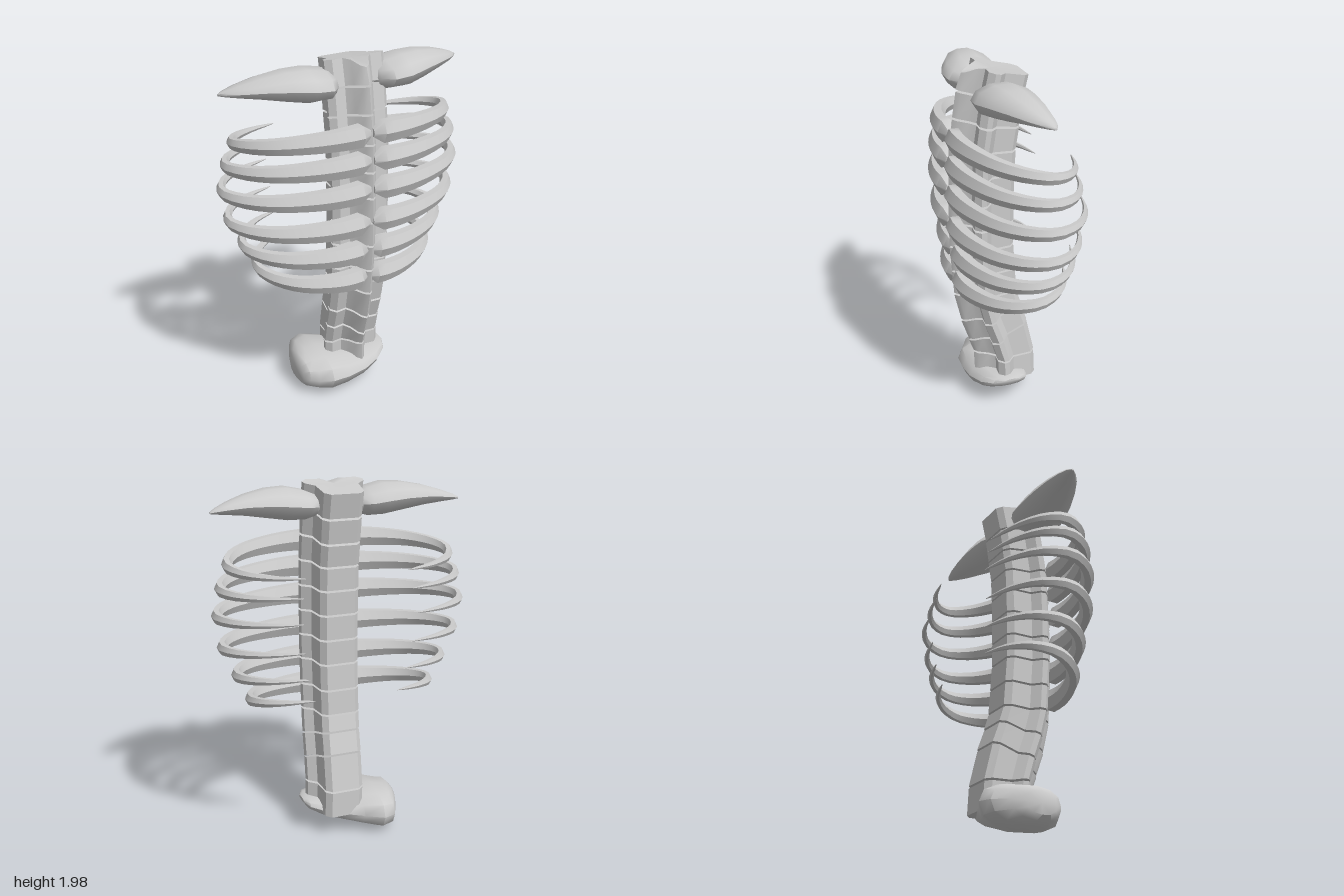
import * as THREE from 'three';
import { toCreasedNormals } from 'three/addons/utils/BufferGeometryUtils.js';

const material = new THREE.MeshStandardMaterial({ color: 0xcccccc });

// Skin a list of equal-length rings of Vector3 and cap both ends
function loft(rings, crease) {
  const n = rings[0].length, m = rings.length;
  const pts = rings.flat(), idx = [];
  for (let i = 0; i < m - 1; i++) {
    for (let j = 0; j < n; j++) {
      const a = i * n + j, b = i * n + (j + 1) % n;
      idx.push(a, b, b + n, a, b + n, a + n);
    }
  }
  [rings[0], rings[m - 1]].forEach((ring, end) => {
    const c = ring.reduce((s, p) => s.add(p), new THREE.Vector3()).divideScalar(n);
    const k = pts.push(c) - 1, o = end ? (m - 1) * n : 0;
    for (let j = 0; j < n; j++) {
      const a = o + j, b = o + (j + 1) % n;
      idx.push(...(end ? [k, a, b] : [k, b, a]));
    }
  });
  // Turn the faces outward if the rings ran the other way round
  let volume = 0;
  for (let i = 0; i < idx.length; i += 3) {
    volume += pts[idx[i]].dot(pts[idx[i + 1]].clone().cross(pts[idx[i + 2]]));
  }
  if (volume < 0) idx.reverse();
  const g = new THREE.BufferGeometry().setFromPoints(pts);
  g.setIndex(idx);
  return toCreasedNormals(g, crease);
}

function add(parent, name, geometry) {
  const mesh = new THREE.Mesh(geometry, material);
  mesh.name = name;
  parent.add(mesh);
}

// Rounded ring in a plane of constant x
function ringX(x, y0, y1, z0, z1, sides, power = 1) {
  const round = v => Math.sign(v) * Math.abs(v) ** power;
  return Array.from({ length: sides }, (_, i) => {
    const a = i / sides * Math.PI * 2;
    return new THREE.Vector3(x,
      (y0 + y1) / 2 + round(Math.sin(a)) * (y1 - y0) / 2,
      (z0 + z1) / 2 + round(Math.cos(a)) * (z1 - z0) / 2);
  });
}

// Half outline of a vertebra (x, z): rounded body, side wings, front spike
const half = [[0, -.17], [.08, -.17], [.11, -.14], [.12, -.03], [.165, .01], [.17, .04],
  [.14, .07], [.08, .065], [.05, .1], [.025, .15], [0, .17]];
const outline = [...half, ...half.slice(1, -1).reverse().map(([x, z]) => [-x, z])];

// Spine seams from top to bottom: x, y, z, forward slope
const seams = [
  [.005, 1.975, .04, .22], [.005, 1.83, .07, .2], [.005, 1.69, .09, .17], [.005, 1.55, .11, .08],
  [.005, 1.41, .115, .02], [.005, 1.27, .12, 0], [.005, 1.13, .12, 0], [.005, .99, .12, 0],
  [.005, .84, .11, -.02], [.005, .695, .1, -.04], [.01, .56, .07, -.3], [.015, .43, .03, -.35],
  [.02, .285, -.005, .04], [.025, .13, -.01, .05],
];

function seamRing([x, y, z, slope], offset, isTop) {
  const c = 1 / Math.hypot(1, slope);
  return outline.map(([px, pz]) => {
    const drop = isTop && pz > .08 ? (pz - .08) * .6 : 0;
    return new THREE.Vector3(x + px, y + offset + pz * slope * c - drop, z + pz * c);
  });
}

// Ribs: half width, front y, back y, front z, back z
const ribs = [
  [.645, 1.63, 1.55, .315, -.285], [.69, 1.485, 1.455, .325, -.305], [.715, 1.325, 1.33, .33, -.335],
  [.69, 1.14, 1.17, .325, -.315], [.615, .965, 1.02, .30, -.305], [.54, .80, .89, .29, -.28],
];
const ribPlan = new THREE.CatmullRomCurve3([
  [.01, .28], [.05, .28], [.17, .285], [.34, .255], [.52, .18], [.64, .07],
  [.685, -.05], [.63, -.18], [.49, -.28], [.31, -.335],
].map(([x, z]) => new THREE.Vector3(x, 0, z)));

function rib([width, yFront, yBack, zFront, zBack], side) {
  const rings = [], steps = 22;
  for (let i = 0; i <= steps; i++) {
    const t = i / steps;
    const p = ribPlan.getPointAt(t), d = ribPlan.getTangentAt(t);
    const sx = width / .715, sz = p.z > 0 ? zFront / .33 : -zBack / .335;
    const back = (.285 - p.z) / .62;
    const y = THREE.MathUtils.lerp(yFront, yBack, back);
    const end = i === 0 ? .35 : 1;
    const high = (.06 * (1 - t) ** .8 + .002) * end;
    const deep = (.05 * (1 - t) ** .75 + .002) * end;
    rings.push(Array.from({ length: 6 }, (_, j) => {
      const a = j / 6 * Math.PI * 2, out = Math.cos(a) * deep;
      const x = Math.max(.004, p.x * sx - d.z * out);
      return new THREE.Vector3(side * x, y + Math.sin(a) * high * 1.1, p.z * sz + d.x * out);
    }));
  }
  return loft(rings, .75);
}

// Shoulder bone sections: x, y low, y high, z back, z front
const shoulder = [
  [.1, 1.82, 1.9, -.02, .1], [.125, 1.8, 1.92, -.05, .16], [.175, 1.785, 1.94, -.075, .215],
  [.27, 1.785, 1.96, -.075, .225], [.38, 1.805, 1.957, -.07, .19], [.5, 1.828, 1.935, -.062, .135],
  [.6, 1.842, 1.905, -.052, .075], [.66, 1.85, 1.882, -.04, .025], [.69, 1.855, 1.865, -.025, -.01],
];

// Hip bone sections in the same order
const hip = [
  [-.32, .06, .18, -.09, .09], [-.295, .035, .21, -.16, .13], [-.25, .015, .22, -.25, .16],
  [-.18, .005, .235, -.275, .2], [-.08, .025, .22, -.22, .205], [.03, .055, .205, -.165, .195],
  [.13, .09, .2, -.12, .16], [.2, .135, .2, -.09, .11], [.225, .17, .19, -.04, .05],
];

export function createModel() {
  const model = new THREE.Group();
  model.name = 'torsoSkeleton';

  // Stack of vertebrae with thin gaps
  const spine = new THREE.Group();
  spine.name = 'spine';
  model.add(spine);
  for (let i = 0; i < seams.length - 1; i++) {
    add(spine, 'vertebra' + (i + 1),
      loft([seamRing(seams[i], -.006, i === 0), seamRing(seams[i + 1], .006, false)], .6));
  }

  // Mirrored ribs and shoulder bones
  for (const [side, label] of [[1, 'left'], [-1, 'right']]) {
    const cage = new THREE.Group();
    cage.name = label + 'Ribs';
    model.add(cage);
    ribs.forEach((r, i) => add(cage, label + 'Rib' + (i + 1), rib(r, side)));
    add(model, label + 'ShoulderBone',
      loft(shoulder.map(([x, ...s]) => ringX(side * x, ...s, 10)), .9));
  }

  // Lopsided hip bone below the spine
  add(model, 'hipBone', loft(hip.map(s => ringX(...s, 12, .85)), .8));
  return model;
}
